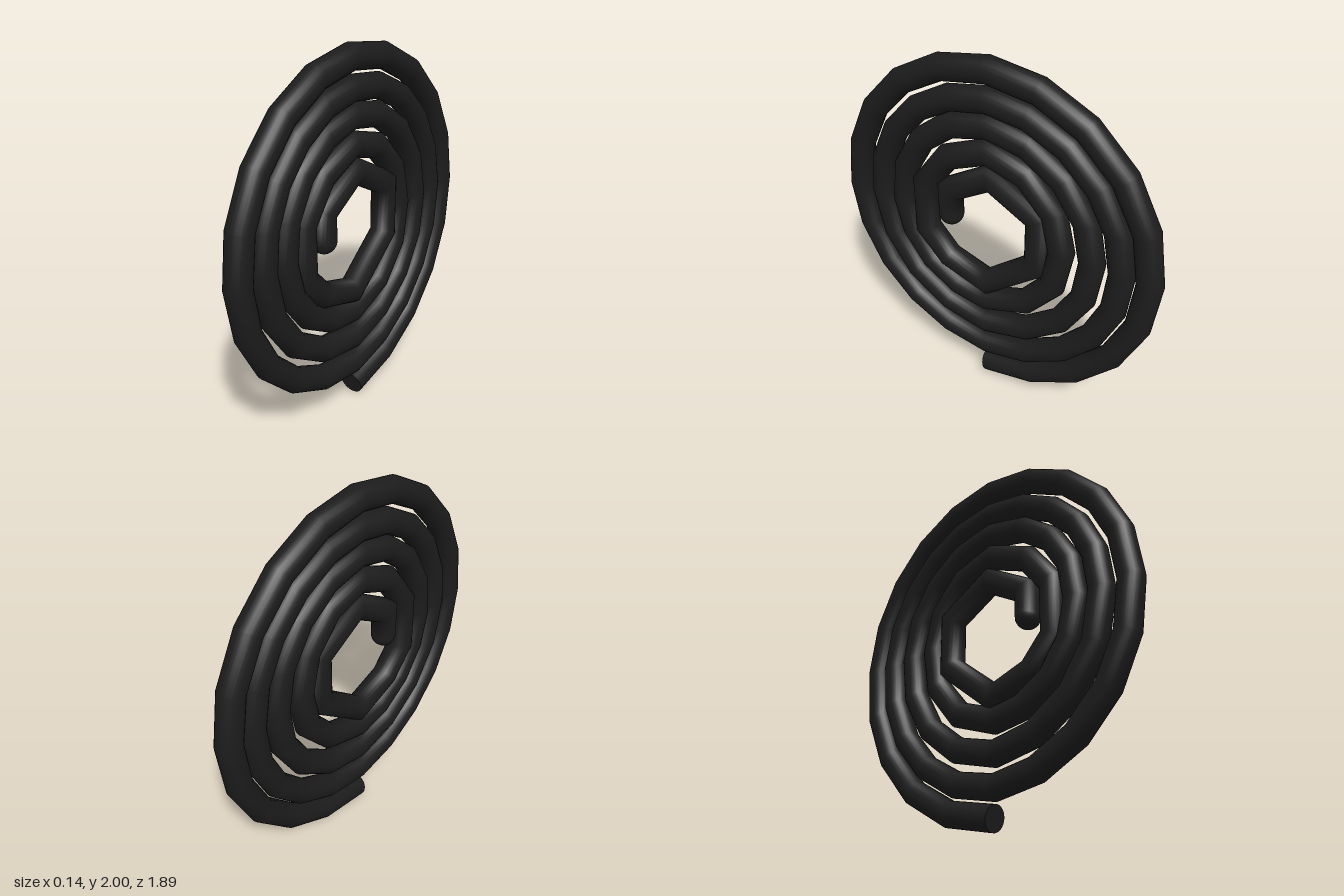
import * as THREE from 'three';

const R = 0.068, SIDES = 24;

// Centreline of the coil in the zy plane, as Vector2(z, y)
function coilPath() {
  // tight, irregular innermost turn
  const pts = [[0.27, 1.06], [0.27, 1.21], [0.02, 1.36], [-0.26, 1.21], [-0.26, 0.92],
    [0.04, 0.68], [0.29, 0.76], [0.43, 0.91], [0.43, 1.2], [0.28, 1.4]]
    .map(([z, y]) => new THREE.Vector2(z, y));
  // outer turns: radius at every quarter turn, and segments in each quarter
  const radii = [0.445, 0.435, 0.5, 0.535, 0.59, 0.605, 0.67, 0.68, 0.725, 0.765, 0.837, 0.843, 0.877, 0.91, 0.985];
  const segs = [3, 3, 4, 4, 4, 4, 4, 5, 5, 5, 5, 5, 5, 5];
  const add = (q, r) => {
    const a = (q + 1) * Math.PI / 2;
    pts.push(new THREE.Vector2(0.04 + r * Math.cos(a), 1.057 + r * Math.sin(a)));
  };
  segs.forEach((n, q) => {
    for (let k = 0; k < n; k++) add(q + k / n, THREE.MathUtils.lerp(radii[q], radii[q + 1], k / n));
  });
  add(segs.length, radii[segs.length]);
  return pts;
}

// Round tube with mitred corners along the path
function mitredTube(pts) {
  const pos = [], index = [], last = pts.length - 1;
  const dir = i => pts[i + 1].clone().sub(pts[i]).normalize();
  pts.forEach((p, i) => {
    const d0 = dir(Math.max(i - 1, 0)), d1 = dir(Math.min(i, last - 1));
    const t = d0.clone().add(d1).normalize();
    const stretch = R / t.dot(d1);
    for (let j = 0; j < SIDES; j++) {
      const a = j / SIDES * Math.PI * 2, s = Math.sin(a) * stretch;
      pos.push(R * Math.cos(a), p.y + t.x * s, p.x - t.y * s);
      if (i < last) {
        const k = (j + 1) % SIDES, a0 = i * SIDES, b0 = a0 + SIDES;
        index.push(a0 + j, a0 + k, b0 + k, a0 + j, b0 + k, b0 + j);
      }
    }
  });
  const g = new THREE.BufferGeometry();
  g.setAttribute('position', new THREE.Float32BufferAttribute(pos, 3));
  g.setIndex(index);
  g.computeVertexNormals();
  return g;
}

export function createModel() {
  const group = new THREE.Group();
  group.name = 'spiralCoil';
  const mat = new THREE.MeshStandardMaterial({ color: 0x1c1c1c });
  const pts = coilPath();
  const add = (geo, name) => {
    const m = new THREE.Mesh(geo, mat);
    m.name = name;
    group.add(m);
    return m;
  };

  add(mitredTube(pts), 'coilTube');

  // rounded inner end
  add(new THREE.SphereGeometry(R, SIDES, 16), 'innerEnd').position.set(0, pts[0].y, pts[0].x);

  // flat outer end
  const e = pts[pts.length - 1], d = e.clone().sub(pts[pts.length - 2]);
  const cap = add(new THREE.CircleGeometry(R, SIDES), 'outerEnd');
  cap.position.set(0, e.y, e.x);
  cap.lookAt(0, e.y + d.y, e.x + d.x);

  return group;
}
